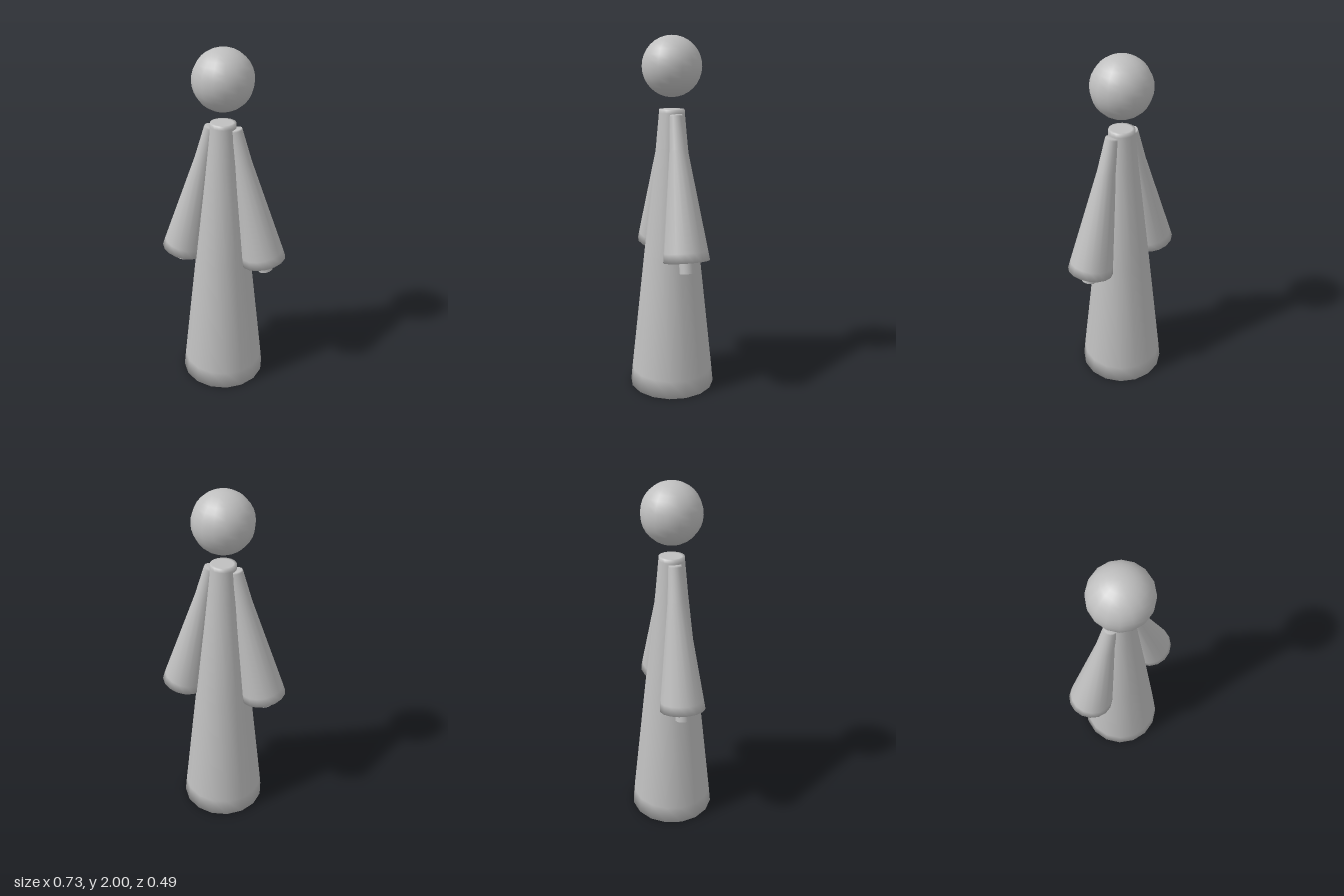
import * as THREE from 'three';

const SIDES = 16;

// Closed, softly shaded solid of revolution; profile runs from bottom to top.
function turned(name, profile, material) {
  const points = profile.map(([r, y]) => new THREE.Vector2(r, y));
  const mesh = new THREE.Mesh(new THREE.LatheGeometry(points, SIDES), material);
  mesh.name = name;
  return mesh;
}

export function createModel() {
  const grey = new THREE.MeshStandardMaterial({ color: 0xbfbfbf });
  grey.name = 'plain grey';

  const model = new THREE.Group();
  model.name = 'robedFigure';

  // Long tapering robe
  model.add(turned('robe', [
    [0, 0], [0.13, 0], [0.245, 0], [0.235, 0.1], [0.158, 0.8],
    [0.089, 1.4], [0.071, 1.59], [0.07, 1.61], [0.055, 1.61], [0, 1.61],
  ], grey));

  // Floating round head
  const head = new THREE.Mesh(new THREE.SphereGeometry(0.163, SIDES, SIDES), grey);
  head.name = 'head';
  head.position.y = 1.837;
  model.add(head);

  // Flared sleeves, each with a short hand, leaning out from the shoulders
  for (const [side, s] of [['left', 1], ['right', -1]]) {
    const arm = new THREE.Group();
    arm.name = side + 'Arm';
    arm.position.set(s * 0.241, 0.812, 0);
    arm.rotation.z = s * 0.221;

    arm.add(turned(side + 'Sleeve', [
      [0, 0], [0.07, 0], [0.127, 0], [0.121, 0.05], [0.05, 0.6],
      [0.036, 0.78], [0.034, 0.79], [0, 0.79],
    ], grey));

    const hand = new THREE.Mesh(new THREE.CylinderGeometry(0.042, 0.042, 0.1, SIDES), grey);
    hand.name = side + 'Hand';
    hand.position.y = -0.015;
    arm.add(hand);
    model.add(arm);
  }
  return model;
}
